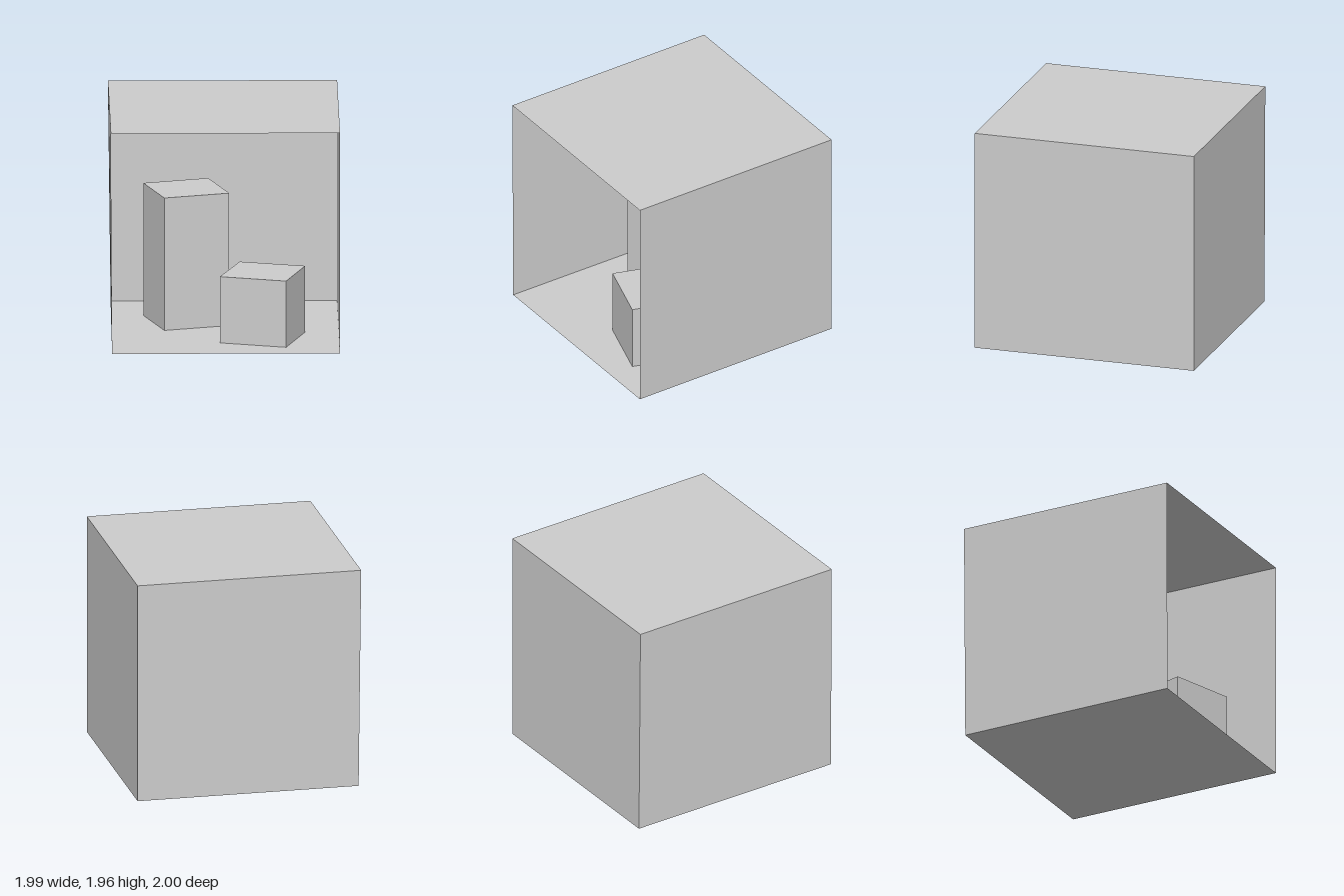
import * as THREE from 'three';

const grey = new THREE.MeshStandardMaterial({ color: 0xcccccc, side: THREE.DoubleSide });
grey.name = 'plain grey';

// Room corners: the left wall (-x) leans very slightly outwards to the top
const corners = {
  leftFrontLow: [-0.983, 0, 1],
  leftBackLow: [-0.971, 0, -1],
  rightFrontLow: [0.994, 0, 1],
  rightBackLow: [0.994, 0, -1],
  leftFrontTop: [-0.994, 1.963, 1],
  leftBackTop: [-0.994, 1.963, -1],
  rightFrontTop: [0.994, 1.963, 1],
  rightBackTop: [0.994, 1.963, -1],
};

// Flat sheet through four named corners
function sheet(name, a, b, c, d) {
  const points = [a, b, c, a, c, d].flatMap((key) => corners[key]);
  const geometry = new THREE.BufferGeometry();
  geometry.setAttribute('position', new THREE.Float32BufferAttribute(points, 3));
  geometry.computeVertexNormals();
  const mesh = new THREE.Mesh(geometry, grey);
  mesh.name = name;
  return mesh;
}

// Upright block from a floor outline of [x, z] points
function block(name, outline, height) {
  const shape = new THREE.Shape(outline.map(([x, z]) => new THREE.Vector2(x, -z)));
  const geometry = new THREE.ExtrudeGeometry(shape, { depth: height, bevelEnabled: false });
  geometry.rotateX(-Math.PI / 2);
  const mesh = new THREE.Mesh(geometry, grey);
  mesh.name = name;
  return mesh;
}

export function createModel() {
  const model = new THREE.Group();
  model.name = 'openRoom';

  // Room shell, open at the front, with normals facing inwards
  model.add(
    sheet('floor', 'leftFrontLow', 'rightFrontLow', 'rightBackLow', 'leftBackLow'),
    sheet('ceiling', 'leftFrontTop', 'leftBackTop', 'rightBackTop', 'rightFrontTop'),
    sheet('backWall', 'leftBackLow', 'rightBackLow', 'rightBackTop', 'leftBackTop'),
    sheet('wallNegativeX', 'leftFrontLow', 'leftBackLow', 'leftBackTop', 'leftFrontTop'),
    sheet('wallPositiveX', 'rightBackLow', 'rightFrontLow', 'rightFrontTop', 'rightBackTop'),
  );

  // Two turned blocks standing on the floor
  model.add(
    block('tallBlock', [[-0.519, 0.117], [0.046, -0.059], [-0.129, -0.631], [-0.694, -0.452]], 1.18),
    block('shortBlock', [[0.529, 0.768], [0.701, 0.195], [0.136, 0.027], [-0.043, 0.592]], 0.59),
  );
  return model;
}
